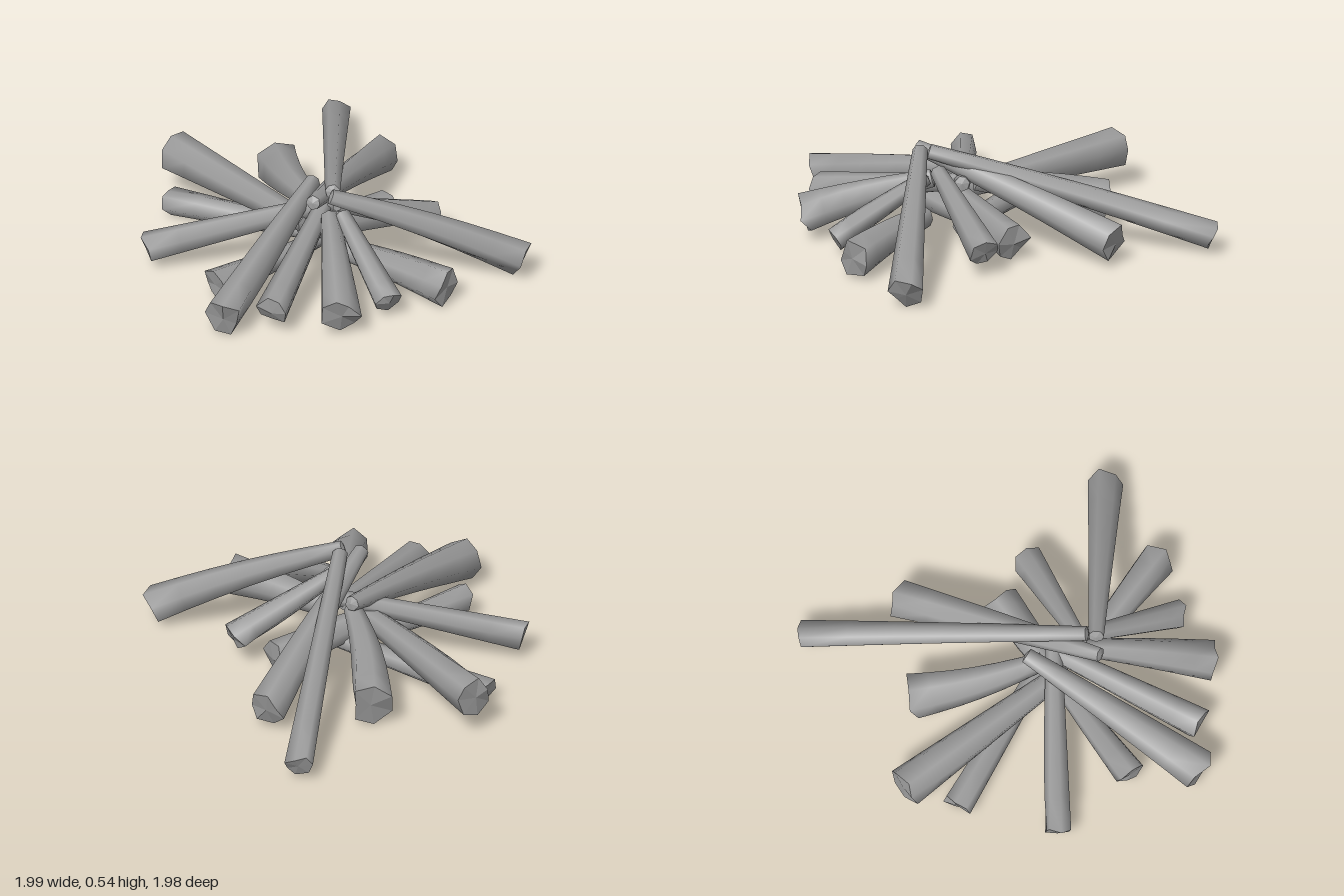
import * as THREE from 'three';

// Each log: outer end centre, outer radius, inner end centre, inner radius, [sideways, upward] bow
const LOGS = [
  ['backLog', [-0.11, 0.22, -0.985], 0.113, [-0.1, 0.23, 0.05], 0.055, [0, 0]],
  ['backLowLog', [-0.31, 0.085, -0.79], 0.08, [0.1, 0.11, 0.17], 0.045, [0, 0]],
  ['backRightLog', [-0.76, 0.12, -0.475], 0.082, [0.09, 0.35, 0.15], 0.042, [0, 0]],
  ['rightLowLog', [-0.725, 0.1, 0.035], 0.083, [0.02, 0.1, 0.05], 0.04, [0, -0.01]],
  ['rightFrontLog', [-0.735, 0.13, 0.49], 0.085, [0.02, 0.32, 0.07], 0.045, [0, 0]],
  ['rightLeaningLog', [-0.945, 0.115, 0.345], 0.113, [0.05, 0.385, -0.06], 0.042, [0, 0.01]],
  ['frontRightLog', [-0.485, 0.135, 0.765], 0.11, [-0.08, 0.34, 0.22], 0.05, [0, 0.01]],
  ['frontShortLog', [-0.175, 0.105, 0.79], 0.073, [-0.05, 0.37, 0.28], 0.04, [0, 0]],
  ['frontLowLog', [0.14, 0.12, 0.89], 0.104, [-0.04, 0.16, 0.3], 0.058, [0, 0.01]],
  ['frontLeftLog', [0.655, 0.095, 0.915], 0.098, [-0.12, 0.5, 0.27], 0.042, [0, 0.02]],
  ['leftShortLog', [0.54, 0.15, 0.322], 0.087, [-0.03, 0.4, 0.22], 0.042, [0, 0]],
  ['leftLowLog', [0.45, 0.11, 0.075], 0.1, [-0.1, 0.19, 0.04], 0.065, [0, 0]],
  ['leftLeaningLog', [0.785, 0.128, -0.345], 0.102, [-0.21, 0.48, 0.23], 0.038, [0, 0.015]],
  ['longLog', [0.94, 0.1, -0.87], 0.075, [-0.08, 0.5, 0.24], 0.04, [0, 0.01]],
  ['backLeftLog', [0.31, 0.135, -0.62], 0.123, [0.0, 0.3, 0.0], 0.05, [0.025, 0.01]],
];
const SIDES = 7, STEPS = 6;

// Repeatable jitter
function seeded(seed) {
  let s = seed * 7919 + 17;
  return () => (s = (s * 16807) % 2147483647) / 2147483647;
}

function logGeometry(outer, rOuter, inner, rInner, bow, seed) {
  const rand = seeded(seed);
  const a = new THREE.Vector3(...inner), b = new THREE.Vector3(...outer);
  const dir = b.clone().sub(a).normalize();
  const side = new THREE.Vector3(0, 1, 0).cross(dir).normalize();
  const up = dir.clone().cross(side);
  const spin = rand() * Math.PI * 2;
  const facets = Array.from({ length: SIDES }, () => ({
    r: 0.95 + rand() * 0.12, turn: (rand() - 0.5) * 0.25, end: (rand() - 0.5) * 0.04,
  }));
  const notch = Math.floor(rand() * SIDES);
  const pos = [], index = [];

  // Tapered, bowed rings; one groove deepens toward the cut end
  const rings = [];
  for (let i = 0; i <= STEPS; i++) {
    const t = i / STEPS, arch = Math.sin(Math.PI * t);
    const r = rInner + (rOuter - rInner) * t;
    const centre = a.clone().lerp(b, t).addScaledVector(side, bow[0] * arch).addScaledVector(up, bow[1] * arch);
    const ring = facets.map((f, j) => {
      const ang = spin + (j / SIDES) * Math.PI * 2 + f.turn;
      const rr = r * f.r * (j === notch ? 1 - 0.35 * t ** 4 : 1);
      return centre.clone().addScaledVector(side, Math.cos(ang) * rr)
        .addScaledVector(up, Math.sin(ang) * rr).addScaledVector(dir, i === STEPS ? f.end : 0);
    });
    rings.push(ring);
    ring.forEach((p) => pos.push(p.x, p.y, p.z));
  }
  for (let i = 0; i < STEPS; i++) {
    for (let j = 0; j < SIDES; j++) {
      const p = i * SIDES + j, q = i * SIDES + ((j + 1) % SIDES);
      index.push(p, q, p + SIDES, q, q + SIDES, p + SIDES);
    }
  }

  // Faceted cut ends with their own corners, so the rims stay sharp
  const cap = (ring, centre, flip) => {
    for (let j = 0; j < SIDES; j++) {
      const p = ring[j], q = ring[(j + 1) % SIDES], n = pos.length / 3;
      for (const v of flip ? [centre, q, p] : [centre, p, q]) pos.push(v.x, v.y, v.z);
      index.push(n, n + 1, n + 2);
    }
  };
  cap(rings[STEPS], b.clone().addScaledVector(dir, 0.008), false);
  cap(rings[0], a.clone().addScaledVector(dir, -0.01), true);

  const geo = new THREE.BufferGeometry();
  geo.setAttribute('position', new THREE.Float32BufferAttribute(pos, 3));
  geo.setIndex(index);
  geo.computeVertexNormals();
  return geo;
}

export function createModel() {
  const model = new THREE.Group();
  model.name = 'logPile';
  const wood = new THREE.MeshStandardMaterial({ color: 0x9a9a9a });
  LOGS.forEach(([name, outer, rOuter, inner, rInner, bow], i) => {
    const log = new THREE.Mesh(logGeometry(outer, rOuter, inner, rInner, bow, i + 1), wood);
    log.name = name;
    model.add(log);
  });
  return model;
}
